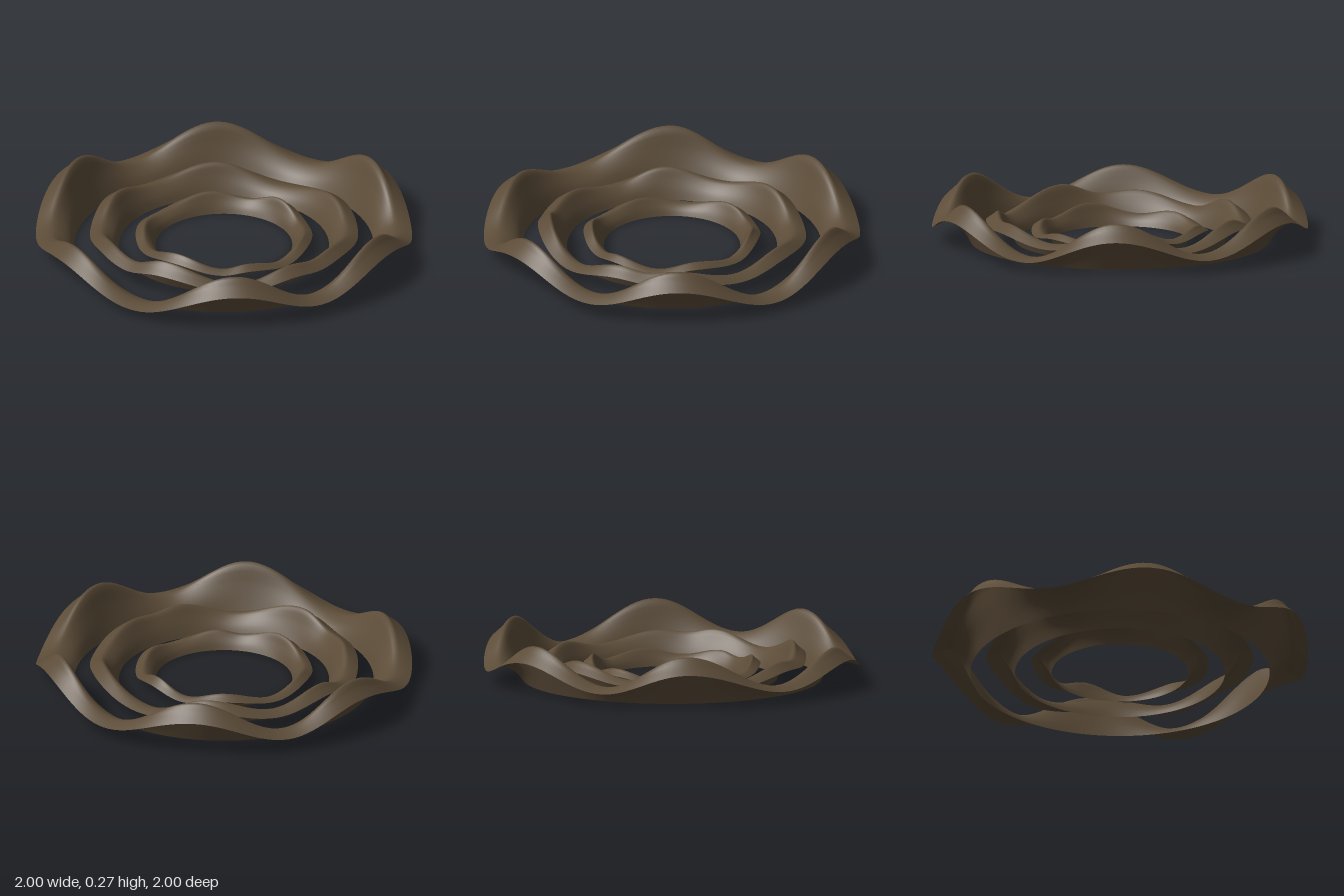
import * as THREE from 'three';

const AROUND = 180, ACROSS = 16;

// Radial cross-sections: x = 0 (inner edge) to 1 (outer rim), y = fraction of crest height
const section = (ys) => new THREE.SplineCurve(
  [0, 0.15, 0.35, 0.56, 0.76, 1].map((x, i) => new THREE.Vector2(x, ys[i]))).getPoints(ACROSS);
const lowSection = section([0, 0.48, 0.82, 1, 0.95, 0.75]);
const highSection = section([0, 0.26, 0.62, 1, 0.86, 0.69]);

// Crest height at an angle, eased between the listed peaks and troughs
function crestAt(waves, degrees) {
  const loop = [...waves, [waves[0][0] + 360, waves[0][1]]];
  const d = degrees < loop[0][0] ? degrees + 360 : degrees;
  const i = loop.findIndex(([angle]) => angle > d);
  const [a0, h0] = loop[i - 1], [a1, h1] = loop[i];
  const t = (1 - Math.cos(Math.PI * (d - a0) / (a1 - a0))) / 2;
  return THREE.MathUtils.lerp(h0, h1, t);
}

// Thin arched sheet running round a circle, its crest following the waves
function waveRing(inner, outer, waves) {
  const positions = [], index = [];
  const heights = waves.map(([, h]) => h);
  const lowest = Math.min(...heights), highest = Math.max(...heights);
  for (let i = 0; i < AROUND; i++) {
    const a = (i / AROUND) * Math.PI * 2;
    const crest = crestAt(waves, (i / AROUND) * 360);
    const swell = (crest - lowest) / (highest - lowest);
    for (let j = 0; j <= ACROSS; j++) {
      const p = lowSection[j].clone().lerp(highSection[j], swell);
      const r = inner + (outer - inner) * p.x;
      positions.push(r * Math.cos(a), p.y * crest + 0.005, r * Math.sin(a));
      if (j < ACROSS) {
        const row = ACROSS + 1, m = i * row + j, n = ((i + 1) % AROUND) * row + j;
        index.push(m, n, m + 1, n, n + 1, m + 1);
      }
    }
  }
  const geometry = new THREE.BufferGeometry();
  geometry.setAttribute('position', new THREE.Float32BufferAttribute(positions, 3));
  geometry.setIndex(index);
  geometry.computeVertexNormals();
  return geometry;
}

export function createModel() {
  const group = new THREE.Group();
  group.name = 'rippleRings';
  const brown = new THREE.MeshStandardMaterial({ color: 0x5c4c38, side: THREE.DoubleSide });
  brown.name = 'earthBrown';

  // name, inner radius, outer radius, [angle in degrees from +x towards +z, crest height]
  const rings = [
    ['outerRing', 0.795, 1, [
      [0, 0.27], [30, 0.068], [62, 0.268], [90, 0.1], [118, 0.268], [150, 0.068],
      [180, 0.222], [210, 0.088], [243, 0.27], [270, 0.1], [299, 0.268], [330, 0.088]]],
    ['middleRing', 0.558, 0.713, [
      [6, 0.14], [32, 0.09], [62, 0.145], [75, 0.135], [88, 0.155], [114, 0.09], [150, 0.185],
      [170, 0.125], [187, 0.14], [216, 0.08], [240, 0.155], [266, 0.095], [297, 0.165], [328, 0.07]]],
    ['innerRing', 0.363, 0.47, [
      [15, 0.06], [47, 0.09], [75, 0.055], [105, 0.09], [122, 0.07], [155, 0.12],
      [192, 0.06], [220, 0.09], [252, 0.052], [291, 0.105], [318, 0.07], [345, 0.12]]],
  ];
  for (const [name, ...shape] of rings) {
    const mesh = new THREE.Mesh(waveRing(...shape), brown);
    mesh.name = name;
    group.add(mesh);
  }
  return group;
}
